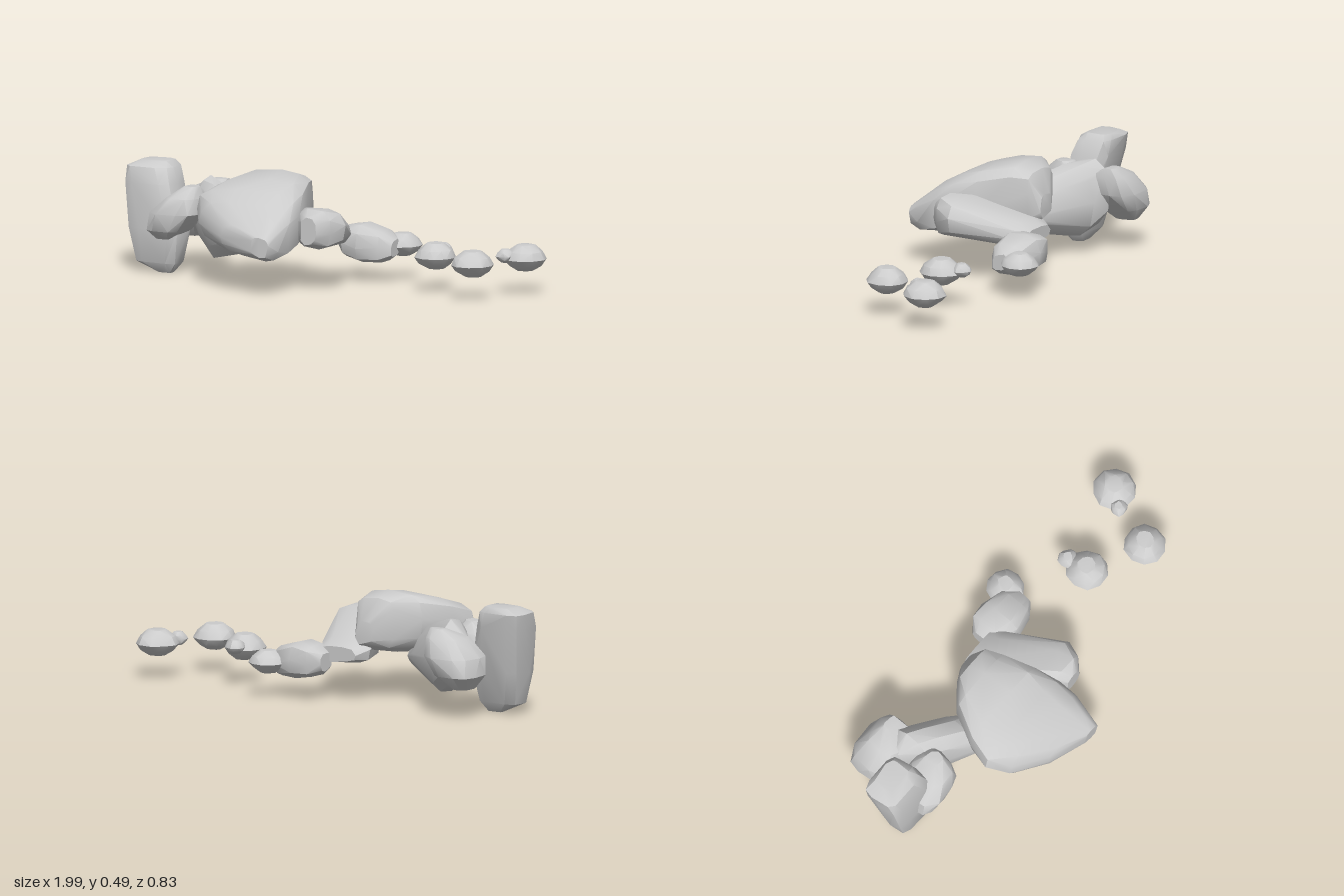
import * as THREE from 'three';
import { ConvexGeometry } from 'three/addons/geometries/ConvexGeometry.js';
import { mergeVertices, toCreasedNormals } from 'three/addons/utils/BufferGeometryUtils.js';

const material = new THREE.MeshStandardMaterial({ color: 0xcccccc });

// Small seeded generator for the uneven, chipped outlines
let seed = 7;
const jitter = (amount) => {
  seed = (seed * 16807) % 2147483647;
  return (seed / 2147483647 - 0.5) * 2 * amount;
};

// A section is [position, uMin, uMax, vMin, vMax] across the given axis
const place = {
  x: (p, u, v) => new THREE.Vector3(p, v, u), // u = z, v = y
  y: (p, u, v) => new THREE.Vector3(u, p, v), // u = x, v = z
  z: (p, u, v) => new THREE.Vector3(u, v, p), // u = x, v = y
};

// Stone: rounded-off sections wrapped in a hull; underSlope tilts the underside
function rock(name, axis, sections, { sides = 10, power = 0.7, underSlope = 0, rough = 0.006 } = {}) {
  const points = [];
  const bend = (t) => Math.sign(t) * Math.abs(t) ** power;
  for (const [p, u0, u1, v0, v1] of sections) {
    const turn = jitter(0.15);
    for (let i = 0; i < sides; i++) {
      const a = (i / sides) * Math.PI * 2 + turn;
      const du = bend(Math.cos(a)) * (u1 - u0) / 2;
      let dv = bend(Math.sin(a)) * (v1 - v0) / 2;
      if (dv < 0) dv += underSlope * du;
      points.push(place[axis](p, (u0 + u1) / 2 + du + jitter(rough), (v0 + v1) / 2 + dv + jitter(rough)));
    }
  }
  const hull = new ConvexGeometry(points);
  hull.deleteAttribute('normal');
  const mesh = new THREE.Mesh(toCreasedNormals(mergeVertices(hull, 1e-4), 0.6), material);
  mesh.name = name;
  return mesh;
}

// Flattened pebble: a short stack of round sections
function pebble(name, x, z, r, y = 0.167, h = 0.057) {
  const rings = [[-1, 0.4], [-0.6, 0.78], [-0.1, 1], [0.5, 0.82], [1, 0.42]];
  const sections = rings.map(([t, k]) => [y + t * h, x - r * k, x + r * k, z - r * k, z + r * k]);
  return rock(name, 'y', sections, { power: 1, rough: 0.004 });
}

export function createModel() {
  seed = 7;
  const group = new THREE.Group();
  group.name = 'rockCluster';

  // Large overhanging boulder
  group.add(rock('mainBoulder', 'z', [
    [-0.2, -0.24, -0.15, 0.27, 0.37],
    [-0.15, -0.33, -0.12, 0.24, 0.475],
    [-0.07, -0.42, -0.09, 0.22, 0.5],
    [0.07, -0.5, -0.03, 0.22, 0.47],
    [0.18, -0.52, 0, 0.21, 0.435],
    [0.27, -0.46, 0, 0.175, 0.39],
    [0.36, -0.3, -0.01, 0.165, 0.31],
    [0.415, -0.12, -0.03, 0.185, 0.27],
  ], { sides: 12, power: 0.58, underSlope: -0.15 }));

  // Upright stone at the far end
  group.add(rock('uprightStone', 'y', [
    [0.005, -0.82, -0.75, -0.03, 0.02],
    [0.05, -0.92, -0.71, -0.06, 0.05],
    [0.2, -0.96, -0.69, -0.1, 0.06],
    [0.4, -0.99, -0.74, -0.14, 0.045],
    [0.47, -0.995, -0.77, -0.15, 0.02],
    [0.495, -0.93, -0.8, -0.13, -0.02],
  ], { power: 0.5 }));

  // Pair of leaning stones
  group.add(rock('frontLeaningStone', 'y', [
    [0.16, -0.81, -0.73, -0.03, 0.06],
    [0.2, -0.85, -0.67, -0.08, 0.11],
    [0.28, -0.83, -0.6, -0.1, 0.12],
    [0.35, -0.76, -0.595, -0.09, 0.09],
    [0.4, -0.68, -0.62, -0.04, 0.03],
  ], { power: 0.65 }));
  group.add(rock('backLeaningStone', 'y', [
    [0.14, -0.82, -0.74, -0.3, -0.2],
    [0.2, -0.86, -0.67, -0.355, -0.15],
    [0.28, -0.85, -0.6, -0.355, -0.13],
    [0.36, -0.77, -0.595, -0.32, -0.15],
    [0.4, -0.68, -0.61, -0.28, -0.24],
  ], { power: 0.65 }));

  // Long stone running under the boulder
  group.add(rock('longStone', 'x', [
    [-0.73, -0.2, -0.13, 0.22, 0.35],
    [-0.65, -0.25, -0.04, 0.12, 0.43],
    [-0.57, -0.21, 0.02, 0.075, 0.41],
    [-0.45, -0.13, 0.08, 0.1, 0.37],
    [-0.36, -0.07, 0.12, 0.13, 0.3],
    [-0.31, -0.03, 0.08, 0.16, 0.25],
  ], { power: 0.9 }));

  // Wedge stone beside the boulder
  group.add(rock('wedgeStone', 'z', [
    [-0.235, -0.17, 0.02, 0.18, 0.25],
    [-0.18, -0.22, 0.06, 0.17, 0.28],
    [-0.05, -0.18, 0.1, 0.18, 0.32],
    [0.08, -0.08, 0.175, 0.2, 0.365],
    [0.16, -0.03, 0.15, 0.2, 0.37],
    [0.205, 0.02, 0.1, 0.22, 0.34],
  ]));

  // Low stone behind
  group.add(rock('lowStone', 'x', [
    [-0.03, -0.3, -0.22, 0.14, 0.22],
    [0.02, -0.35, -0.16, 0.105, 0.255],
    [0.1, -0.36, -0.14, 0.09, 0.26],
    [0.2, -0.33, -0.16, 0.09, 0.235],
    [0.25, -0.28, -0.2, 0.12, 0.2],
  ]));

  // Scattered pebbles
  group.add(
    pebble('lowStonePebble', 0.235, -0.335, 0.085, 0.165, 0.05),
    pebble('nearPebble', 0.53, -0.11, 0.095),
    pebble('frontPebble', 0.785, 0.01, 0.095),
    pebble('farPebble', 0.9, -0.26, 0.098),
    pebble('nearChip', 0.51, -0.205, 0.045, 0.18, 0.03),
    pebble('farChip', 0.84, -0.185, 0.04, 0.18, 0.03),
  );
  return group;
}
